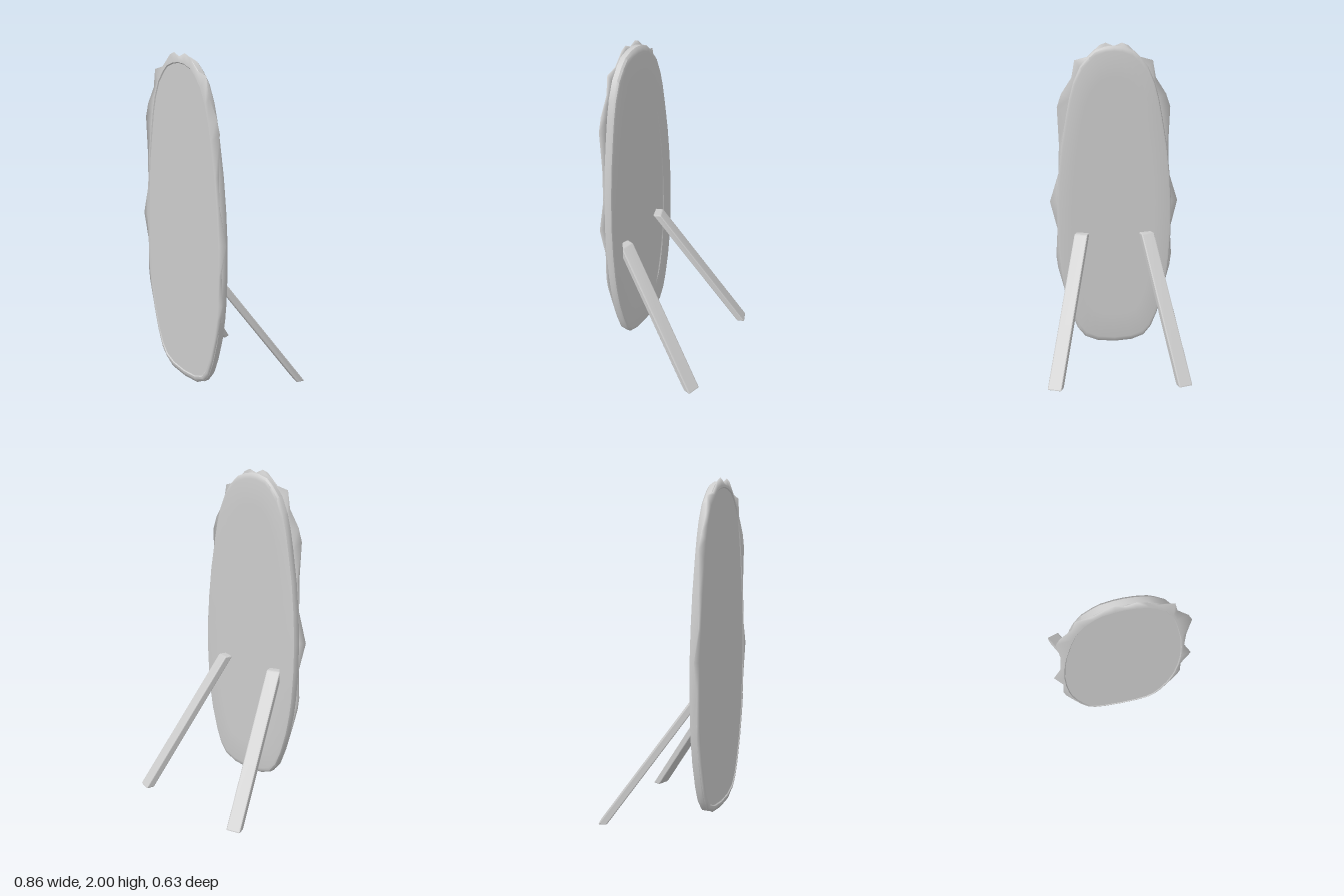
import * as THREE from 'three';
import { toCreasedNormals } from 'three/addons/utils/BufferGeometryUtils.js';
import { RoundedBoxGeometry } from 'three/addons/geometries/RoundedBoxGeometry.js';

// Double sided because the backing is an open shell
const material = new THREE.MeshStandardMaterial({ color: 0xcccccc, side: THREE.DoubleSide });
const MID = 1.02;

// Half outline from top to bottom: frame x, y, then glass x, y
const HALF = [
  [0, 1.98, 0, 1.95], [0.05, 2.0, 0.05, 1.945], [0.09, 1.985, 0.11, 1.925],
  [0.165, 1.915, 0.15, 1.89], [0.243, 1.895, 0.2, 1.83], [0.262, 1.79, 0.24, 1.74],
  [0.328, 1.69, 0.265, 1.65], [0.355, 1.61, 0.285, 1.55], [0.346, 1.38, 0.318, 1.36],
  [0.353, 1.19, 0.338, 1.18], [0.41, 1.01, 0.35, 1.0], [0.365, 0.83, 0.35, 0.82],
  [0.376, 0.65, 0.341, 0.65], [0.366, 0.57, 0.33, 0.55], [0.332, 0.44, 0.307, 0.42],
  [0.287, 0.28, 0.268, 0.28], [0.243, 0.16, 0.232, 0.19], [0.2, 0.11, 0.185, 0.13],
  [0.13, 0.068, 0.11, 0.1], [0, 0.056, 0, 0.09],
];
const OUTLINE = [
  ...HALF,
  ...HALF.slice(1, -1).reverse().map(([a, b, c, d]) => [-a, b, -c, d]),
];

const outer = (z) => OUTLINE.map(([x, y]) => [x, y, z]);
const oval = (sx, sy, z) => OUTLINE.map(([, , x, y]) => [x * sx, MID + (y - MID) * sy, z]);
const centre = (z) => OUTLINE.map(() => [0, MID, z]);

// Skin a sequence of closed loops running from back to front
function loft(rings, crease) {
  const pos = [];
  const same = (p, q) => p.every((v, k) => v === q[k]);
  const tri = (a, b, c) => {
    if (!same(a, b) && !same(b, c) && !same(a, c)) pos.push(...a, ...b, ...c);
  };
  for (let r = 0; r < rings.length - 1; r++) {
    const a = rings[r], b = rings[r + 1];
    for (let i = 0; i < a.length; i++) {
      const j = (i + 1) % a.length;
      tri(a[i], b[i], b[j]);
      tri(a[i], b[j], a[j]);
    }
  }
  const geo = new THREE.BufferGeometry();
  geo.setAttribute('position', new THREE.Float32BufferAttribute(pos, 3));
  return toCreasedNormals(geo, crease);
}

function addMesh(group, name, geo) {
  const mesh = new THREE.Mesh(geo, material);
  mesh.name = name;
  group.add(mesh);
}

// Splayed leg: an upright chamfered bar turned, then sheared so its ends stay level
function legGeometry(side) {
  const height = 0.805;
  const geo = new RoundedBoxGeometry(0.088, height, 0.052, 1, 0.007);
  geo.rotateY(-side * 0.307);
  geo.translate(0, height / 2, 0);
  const p = geo.attributes.position;
  for (let i = 0; i < p.count; i++) {
    const t = p.getY(i) / height;
    p.setX(i, p.getX(i) + side * (0.386 - 0.178 * t));
    p.setZ(i, p.getZ(i) - 0.283 + 0.553 * t);
  }
  return toCreasedNormals(geo, 0.3);
}

export function createModel() {
  const group = new THREE.Group();
  group.name = 'standingMirror';

  // Hollow backing with an oval rear opening and rounded rear edge
  addMesh(group, 'backing', loft([
    oval(0.74, 0.83, 0.255), oval(1.0, 1.0, 0.255), oval(1.03, 1.022, 0.259),
    oval(1.045, 1.035, 0.27), oval(1.045, 1.035, 0.3), oval(1.03, 1.025, 0.308),
  ], 0.6));

  // Irregular leaf-like rim, tapering to a thin edge
  addMesh(group, 'frame', loft([
    oval(1.035, 1.025, 0.3), outer(0.307), oval(1.02, 1.012, 0.315),
    oval(1, 1, 0.316),
  ], 3.1));

  // Narrow lip stepping down to the pane
  addMesh(group, 'lip', loft([oval(1, 1, 0.316), oval(0.985, 0.994, 0.311)], 0.6));

  // Flat mirror pane
  addMesh(group, 'glass', loft([oval(0.985, 0.994, 0.311), centre(0.311)], 0.6));

  // Pair of rear legs
  addMesh(group, 'leftLeg', legGeometry(1));
  addMesh(group, 'rightLeg', legGeometry(-1));
  return group;
}
